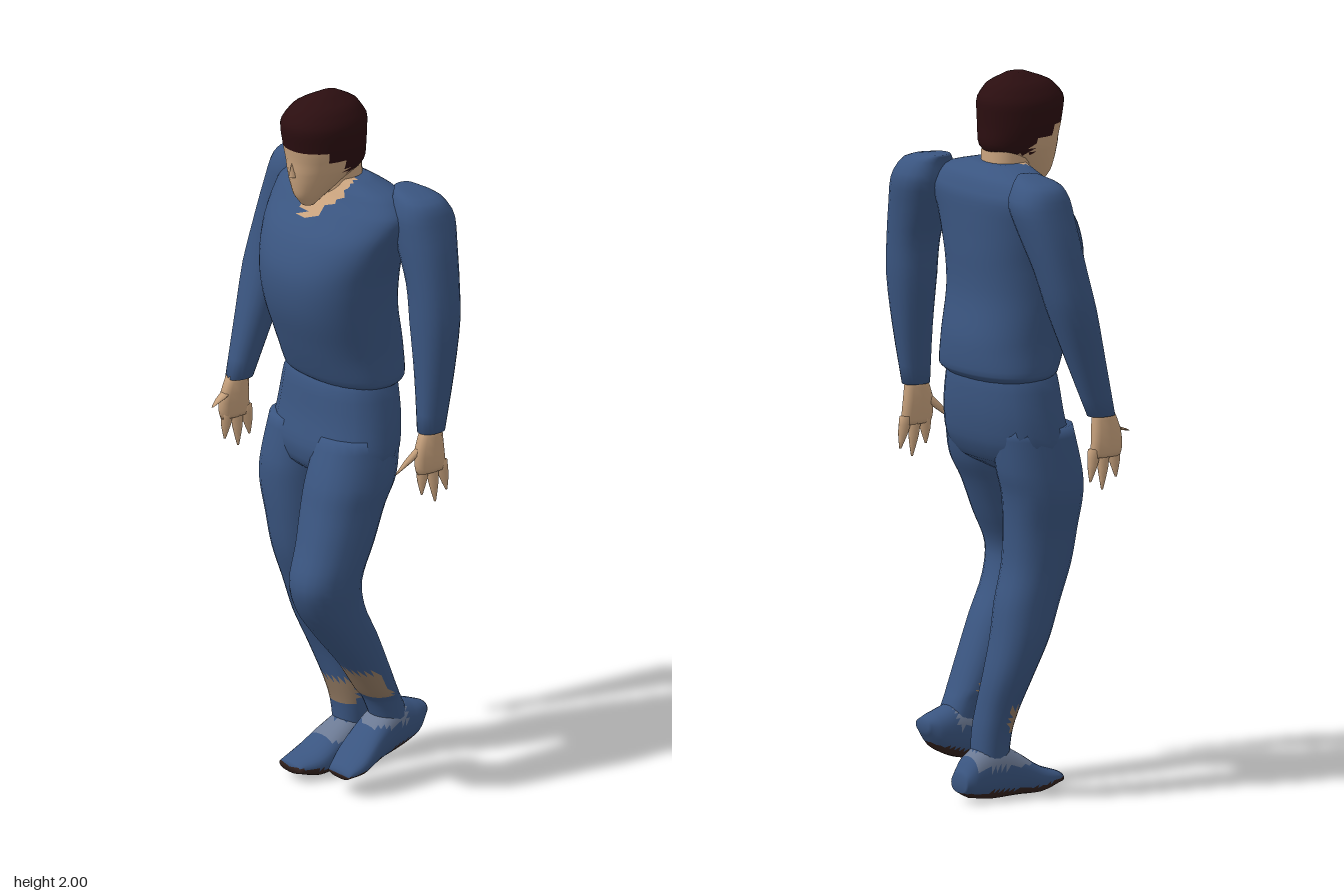
import * as THREE from 'three';

const mat = (name, color) => {
  const m = new THREE.MeshStandardMaterial({ color });
  m.name = name;
  return m;
};

// Skin through elliptical sections [x, y, z, radiusX, radius2].
// along 'y' gives horizontal rings, along 'z' upright rings facing forward.
// paint(x, y, z) returns the material index of each face.
function loft(name, sections, mats, { along = 'y', seg = 20, sub = 3, power = 2.3, paint = null } = {}) {
  const centres = new THREE.CatmullRomCurve3(sections.map(s => new THREE.Vector3(s[0], s[1], s[2])));
  const radii = new THREE.CatmullRomCurve3(sections.map(s => new THREE.Vector3(s[3], s[4], 0)));
  const n = (sections.length - 1) * sub;
  const pos = [];
  const round = v => Math.sign(v) * Math.abs(v) ** (2 / power);
  for (let i = 0; i <= n; i++) {
    const c = centres.getPoint(i / n), r = radii.getPoint(i / n);
    for (let j = 0; j < seg; j++) {
      const a = (j / seg) * Math.PI * 2;
      const u = round(Math.cos(a)) * r.x, v = round(Math.sin(a)) * r.y;
      if (along === 'y') pos.push(c.x + u, c.y, c.z + v);
      else pos.push(c.x + u, c.y + v, c.z);
    }
  }
  const first = pos.length / 3;
  pos.push(...sections[0].slice(0, 3), ...sections[sections.length - 1].slice(0, 3));

  const faces = [];
  for (let j = 0; j < seg; j++) {
    const k = (j + 1) % seg;
    for (let i = 0; i < n; i++) {
      const a = i * seg + j, b = i * seg + k, c = a + seg, d = b + seg;
      faces.push([a, c, b], [b, c, d]);
    }
    faces.push([first, j, k], [first + 1, n * seg + k, n * seg + j]);
  }
  // Turn all faces outwards
  const P = i => new THREE.Vector3().fromArray(pos, i * 3);
  const origin = P(first);
  let volume = 0;
  for (const f of faces) {
    const [a, b, c] = f.map(i => P(i).sub(origin));
    volume += a.dot(b.cross(c));
  }
  if (volume < 0) faces.forEach(f => f.reverse());

  const buckets = mats.map(() => []);
  for (const f of faces) {
    const c = P(f[0]).add(P(f[1])).add(P(f[2])).divideScalar(3);
    buckets[paint ? paint(c.x, c.y, c.z) : 0].push(...f);
  }
  const geo = new THREE.BufferGeometry();
  geo.setAttribute('position', new THREE.Float32BufferAttribute(pos, 3));
  geo.setIndex(buckets.flat());
  let start = 0;
  buckets.forEach((b, i) => {
    geo.addGroup(start, b.length, i);
    start += b.length;
  });
  geo.computeVertexNormals();
  const mesh = new THREE.Mesh(geo, mats.length > 1 ? mats : mats[0]);
  mesh.name = name;
  return mesh;
}

export function createModel() {
  const blue = mat('blue cloth', 0x3a5580);
  const skin = mat('skin', 0xc9a37e);
  const hair = mat('dark hair', 0x2b0e10);
  const tan = mat('worn ankle', 0x8f7760);
  const grey = mat('shoe grey', 0x6c7a94);
  const sole = mat('sole brown', 0x35231f);
  const model = new THREE.Group();
  model.name = 'walkingMan';

  // Head with cap of hair, nose and neck
  model.add(loft('head', [
    [0, 1.69, 0.07, 0.018, 0.018], [0, 1.72, 0.06, 0.038, 0.05], [0, 1.76, 0.035, 0.062, 0.085],
    [0, 1.80, 0.01, 0.084, 0.115], [0, 1.86, 0.012, 0.1, 0.12], [0, 1.92, 0.015, 0.102, 0.126],
    [0, 1.97, 0.01, 0.074, 0.095], [0, 2.0, 0, 0.02, 0.03],
  ], [skin, hair], {
    seg: 28, sub: 4, power: 2.1,
    paint: (x, y, z) => (y > 1.86 || (z < 0.06 && y > 1.825) || (z < 0.0 && y > 1.785) ? 1 : 0),
  }));
  const nose = new THREE.Mesh(new THREE.ConeGeometry(0.014, 0.05, 4), skin);
  nose.name = 'nose';
  nose.position.set(0, 1.805, 0.123);
  model.add(nose);
  model.add(loft('neck', [
    [0, 1.66, -0.035, 0.075, 0.065], [0, 1.74, -0.035, 0.066, 0.062], [0, 1.82, -0.03, 0.065, 0.065],
  ], [skin]));

  // Loose shirt with a V neck
  model.add(loft('shirt', [
    [0, 1.165, -0.06, 0.165, 0.1], [0, 1.19, -0.057, 0.19, 0.132], [0, 1.28, -0.038, 0.186, 0.152],
    [0, 1.4, -0.008, 0.196, 0.162], [0, 1.5, -0.005, 0.21, 0.165], [0, 1.6, -0.025, 0.235, 0.147],
    [0, 1.68, -0.058, 0.25, 0.113], [0, 1.73, -0.065, 0.2, 0.082], [0, 1.76, -0.05, 0.09, 0.05],
  ], [blue, skin], {
    seg: 48, sub: 5,
    paint: (x, y, z) => (z > -0.04 && Math.abs(x) < 0.085 && y > 1.64 + Math.abs(x) * 0.95 ? 1 : 0),
  }));

  // Trousers: hips and two legs in mid stride
  model.add(loft('hips', [
    [0, 1.22, -0.05, 0.15, 0.1], [0, 1.17, -0.045, 0.183, 0.123], [0.003, 1.08, -0.038, 0.202, 0.128],
    [0.008, 1.0, -0.022, 0.212, 0.13], [0.01, 0.94, -0.01, 0.19, 0.11], [0.01, 0.9, 0, 0.08, 0.05],
  ], [blue]));
  model.add(loft('leftLeg', [
    [0.11, 1.04, -0.02, 0.095, 0.115], [0.125, 0.92, 0.02, 0.108, 0.125], [0.13, 0.85, 0.05, 0.104, 0.115],
    [0.145, 0.75, 0.09, 0.094, 0.108], [0.155, 0.65, 0.13, 0.085, 0.102], [0.148, 0.57, 0.11, 0.08, 0.097],
    [0.135, 0.47, 0.045, 0.076, 0.085], [0.127, 0.37, -0.02, 0.068, 0.065], [0.122, 0.28, -0.07, 0.062, 0.054],
    [0.12, 0.25, -0.09, 0.054, 0.05], [0.12, 0.18, -0.12, 0.052, 0.05],
  ], [blue, tan], {
    sub: 4, paint: (x, y, z) => (y > 0.27 && y < 0.36 && z > -0.29 + y * 0.75 ? 1 : 0),
  }));
  model.add(loft('rightLeg', [
    [-0.1, 1.04, -0.02, 0.098, 0.115], [-0.108, 0.92, 0, 0.1, 0.12], [-0.11, 0.85, 0.01, 0.1, 0.112],
    [-0.1, 0.75, 0.01, 0.09, 0.102], [-0.095, 0.65, 0, 0.085, 0.095], [-0.095, 0.55, -0.03, 0.08, 0.09],
    [-0.095, 0.45, -0.055, 0.076, 0.08], [-0.085, 0.35, -0.085, 0.068, 0.067], [-0.06, 0.25, -0.105, 0.06, 0.056],
    [-0.05, 0.19, -0.115, 0.056, 0.052], [-0.045, 0.1, -0.12, 0.05, 0.05],
  ], [blue, tan], {
    sub: 4, paint: (x, y, z) => (y > 0.195 && y < 0.26 && z > -0.1 ? 1 : 0),
  }));

  // Shoes with dark soles and grey instep patches
  model.add(loft('leftShoe', [
    [0.12, 0.19, -0.226, 0.03, 0.018], [0.12, 0.172, -0.19, 0.05, 0.05], [0.118, 0.165, -0.12, 0.057, 0.075],
    [0.122, 0.135, -0.05, 0.064, 0.058], [0.128, 0.092, 0.015, 0.066, 0.036], [0.13, 0.064, 0.065, 0.045, 0.012],
  ], [blue, sole, grey], {
    along: 'z', sub: 5, seg: 24,
    paint: (x, y, z) => (y < 0.082 - z * 0.28 ? 1 : y > 0.18 && z > -0.14 && z < -0.04 ? 2 : 0),
  }));
  model.add(loft('rightShoe', [
    [-0.045, 0.055, -0.222, 0.035, 0.025], [-0.045, 0.07, -0.19, 0.05, 0.058], [-0.045, 0.083, -0.12, 0.058, 0.08],
    [-0.045, 0.065, -0.04, 0.064, 0.06], [-0.043, 0.043, 0.03, 0.066, 0.038], [-0.042, 0.04, 0.1, 0.045, 0.015],
  ], [blue, sole, grey], {
    along: 'z', sub: 5, seg: 24,
    paint: (x, y, z) => (y < 0.03 + Math.max(0, z) * 0.15 ? 1 : y > 0.095 && y < 0.14 && z > -0.19 && z < -0.01 ? 2 : 0),
  }));

  // Sleeves: shared outline, each arm swinging to its own depth
  const sleeve = [
    [0.19, 1.755, 0.03, 0.03], [0.235, 1.735, 0.07, 0.062], [0.25, 1.68, 0.083, 0.084], [0.275, 1.6, 0.08, 0.078],
    [0.303, 1.5, 0.07, 0.07], [0.315, 1.4, 0.068, 0.066], [0.325, 1.25, 0.05, 0.054], [0.333, 1.09, 0.031, 0.04],
  ];
  const swing = {
    left: [-0.12, -0.125, -0.132, -0.128, -0.125, -0.122, -0.112, -0.095],
    right: [-0.09, -0.095, -0.097, -0.085, -0.065, -0.04, 0.01, 0.065],
  };
  for (const side of ['left', 'right']) {
    const s = side === 'left' ? 1 : -1;
    const inset = i => (s < 0 && i > 5 ? 0.012 * (i - 5) : 0);
    model.add(loft(side + 'Sleeve',
      sleeve.map(([x, y, rx, rz], i) => [s * (x - inset(i)), y, swing[side][i], rx, rz]), [blue]));

    // Hand: palm, three pointed fingers and a thumb
    const x = s * (s > 0 ? 0.335 : 0.31), z = s > 0 ? -0.095 : 0.068;
    const hand = new THREE.Group();
    hand.name = side + 'Hand';
    hand.position.set(x, 1.1, z);
    hand.add(loft('palm', [
      [0, 0.01, 0, 0.024, 0.03], [s * 0.003, -0.05, 0.01, 0.024, 0.045],
      [s * 0.006, -0.1, 0.01, 0.019, 0.05], [s * 0.006, -0.125, 0.008, 0.013, 0.046],
    ], [skin], { seg: 10, sub: 2 }));
    const digits = [
      ['finger', -0.028, -0.1, -0.045, -0.19], ['finger', 0.002, -0.1, -0.006, -0.215],
      ['finger', 0.034, -0.1, 0.04, -0.185], ['thumb', 0.03, -0.045, 0.105, s > 0 ? -0.12 : -0.07],
    ];
    for (const [name, z0, y0, z1, y1] of digits) {
      const inward = name === 'thumb' ? -s * 0.025 : s * 0.004;
      hand.add(loft(name, [
        [s * 0.004, y0, z0, 0.013, 0.02], [s * 0.004 + inward / 2, (y0 + y1) / 2, (z0 + z1) / 2, 0.011, 0.015],
        [s * 0.004 + inward, y1, z1, 0.002, 0.003],
      ], [skin], { seg: 6, sub: 2 }));
    }
    model.add(hand);
  }
  return model;
}
